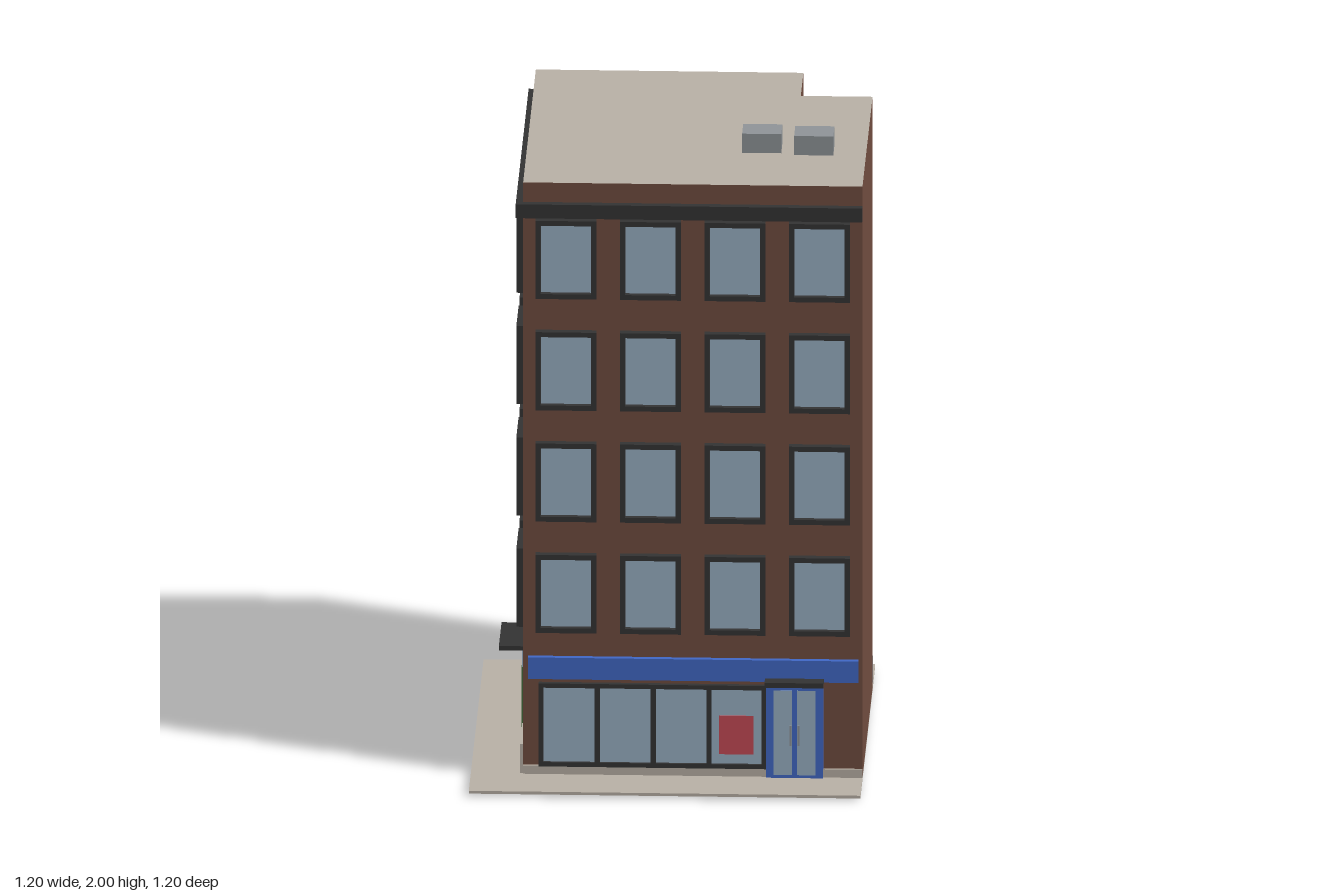
import * as THREE from 'three';

const mat = (name, color) => {
  const m = new THREE.MeshStandardMaterial({ color });
  m.name = name;
  return m;
};

export function createModel() {
  const brick = mat('brick', 0x714d40);
  const stone = mat('stone', 0xbab2a7);
  const dark = mat('darkTrim', 0x343434);
  const glass = mat('glass', 0x9ab1c4);
  const blue = mat('bluePaint', 0x4169c8);
  const red = mat('redPoster', 0xc64b56);
  const grey = mat('greyMetal', 0x909599);
  const green = mat('greenDoor', 0x456a3c);

  const root = new THREE.Group();
  root.name = 'cornerBuilding';

  // Box given by its minimum and maximum on each axis
  const box = (parent, name, m, x0, x1, y0, y1, z0, z1) => {
    const mesh = new THREE.Mesh(new THREE.BoxGeometry(x1 - x0, y1 - y0, z1 - z0), m);
    mesh.position.set((x0 + x1) / 2, (y0 + y1) / 2, (z0 + z1) / 2);
    mesh.name = name;
    parent.add(mesh);
    return mesh;
  };

  // Rectangular frame with an opening, extruded outwards from the wall
  const frame = (parent, name, m, x0, x1, y0, y1, t, depth) => {
    const rect = (P, a, b, c, d) => {
      const p = new P();
      p.moveTo(a, c); p.lineTo(b, c); p.lineTo(b, d); p.lineTo(a, d); p.closePath();
      return p;
    };
    const s = rect(THREE.Shape, x0, x1, y0, y1);
    s.holes.push(rect(THREE.Path, x0 + t, x1 - t, y0 + t, y1 - t));
    const mesh = new THREE.Mesh(new THREE.ExtrudeGeometry(s, { depth, bevelEnabled: false }), m);
    mesh.name = name;
    parent.add(mesh);
  };

  const addWindow = (wall, cx, y0, y1, w, t, depth) => {
    const g = new THREE.Group();
    g.name = 'window';
    frame(g, 'windowFrame', dark, cx - w / 2, cx + w / 2, y0, y1, t, depth);
    box(g, 'windowPane', glass, cx - w / 2 + t, cx + w / 2 - t, y0 + t, y1 - t, 0, 0.006);
    wall.add(g);
  };

  // A wall group: local x runs along the wall, local z points out of it
  const addWall = (name, x, z, angle) => {
    const g = new THREE.Group();
    g.name = name;
    g.position.set(x, 0, z);
    g.rotation.y = angle;
    root.add(g);
    return g;
  };

  // Pavement slab and entrance footing
  box(root, 'pavement', stone, -0.6, 0.6, 0.009, 0.018, -0.6, 0.6);
  box(root, 'entranceFooting', stone, 0.285, 0.5, 0, 0.009, 0.43, 0.55);

  // Brick body with a notch in the back corner, flat stone roof
  const plan = [[-0.44, 0.43], [0.6, 0.43], [0.6, -0.39], [0.38, -0.39], [0.38, -0.6], [-0.44, -0.6]];
  const outline = new THREE.Shape(plan.map(([x, z]) => new THREE.Vector2(x, -z)));
  const bodyGeo = new THREE.ExtrudeGeometry(outline, { depth: 1.922, bevelEnabled: false });
  bodyGeo.rotateX(-Math.PI / 2);
  const body = new THREE.Mesh(bodyGeo, [stone, brick]);
  body.position.y = 0.016;
  body.name = 'brickBody';
  root.add(body);

  // Roof units
  box(root, 'roofUnit', grey, 0.22, 0.34, 1.938, 2, 0.045, 0.135);
  box(root, 'roofUnit', grey, 0.38, 0.5, 1.938, 2, 0.057, 0.15);

  const front = addWall('frontWall', 0, 0.43, 0);
  const side = addWall('sideWall', -0.44, 0, -Math.PI / 2);
  const notchBack = addWall('notchBackWall', 0, -0.39, Math.PI);
  const notchSide = addWall('notchSideWall', 0.38, 0, Math.PI / 2);

  // Upper floors: four storeys of windows
  for (let row = 0; row < 4; row++) {
    const y = 0.482 + row * 0.362;
    for (let col = 0; col < 4; col++) {
      addWindow(front, -0.308 + col * 0.259, y, y + 0.254, 0.187, 0.016, 0.024);
      addWindow(side, -0.468 + col * 0.258, y, y + 0.254, 0.187, 0.016, 0.022);
    }
    const yn = 0.52 + row * 0.362;
    for (const [wall, cx] of [[notchBack, -0.49], [notchSide, 0.495]]) {
      addWindow(wall, cx, yn, yn + 0.16, 0.108, 0.012, 0.009);
      box(wall, 'windowSill', dark, cx - 0.06, cx + 0.06, yn - 0.008, yn + 0.005, 0, 0.018);
    }
  }

  // Cornices
  box(front, 'frontCornice', dark, -0.44, 0.6, 1.83, 1.875, 0, 0.024);
  box(side, 'sideCornice', dark, -0.6, 0.454, 1.83, 1.875, 0, 0.022);

  // Shopfront: plinth, sign band, glazing with mullions, poster
  box(front, 'frontPlinth', stone, -0.44, 0.305, 0.018, 0.045, 0, 0.008);
  box(front, 'frontPlinth', stone, 0.48, 0.6, 0.018, 0.045, 0, 0.008);
  box(front, 'signBand', blue, -0.425, 0.588, 0.33, 0.4, 0, 0.018);
  frame(front, 'shopWindowFrame', dark, -0.392, 0.305, 0.045, 0.315, 0.014, 0.015);
  box(front, 'shopWindowPane', glass, -0.38, 0.292, 0.057, 0.303, 0, 0.006);
  for (const x of [-0.212, -0.041, 0.13]) {
    box(front, 'shopMullion', dark, x - 0.008, x + 0.008, 0.05, 0.31, 0, 0.015);
  }
  box(front, 'poster', red, 0.16, 0.266, 0.09, 0.215, 0.006, 0.009);

  // Double shop door with canopy
  box(front, 'shopDoor', blue, 0.305, 0.48, 0.018, 0.315, 0, 0.016);
  for (const s of [-1, 1]) {
    const c = 0.3925 + s * 0.036;
    box(front, 'shopDoorPane', glass, c - 0.028, c + 0.028, 0.028, 0.302, 0.015, 0.018);
    const h = 0.3925 + s * 0.012;
    box(front, 'shopDoorHandle', grey, h - 0.003, h + 0.003, 0.125, 0.19, 0.016, 0.023);
  }
  box(front, 'shopDoorCanopy', dark, 0.302, 0.482, 0.326, 0.342, 0, 0.06);

  // Side ground floor: plinth, small windows, green door with canopy
  box(side, 'sidePlinth', stone, -0.6, 0.43, 0.018, 0.112, 0, 0.01);
  for (const z of [-0.475, -0.215]) addWindow(side, z, 0.145, 0.35, 0.13, 0.015, 0.012);
  box(side, 'sideDoor', green, 0.105, 0.24, 0.1, 0.295, 0, 0.012);
  box(side, 'sideDoorTransom', glass, 0.105, 0.24, 0.295, 0.35, 0, 0.01);
  box(side, 'sideDoorCanopy', dark, 0.063, 0.28, 0.362, 0.376, 0, 0.08);

  // Thin posts in the notch yard
  for (const x of [0.465, 0.532, 0.597]) {
    const post = new THREE.Mesh(new THREE.CylinderGeometry(0.003, 0.003, 0.09, 8), grey);
    post.position.set(x, 0.06, -0.434);
    post.name = 'yardPost';
    root.add(post);
  }
  return root;
}
